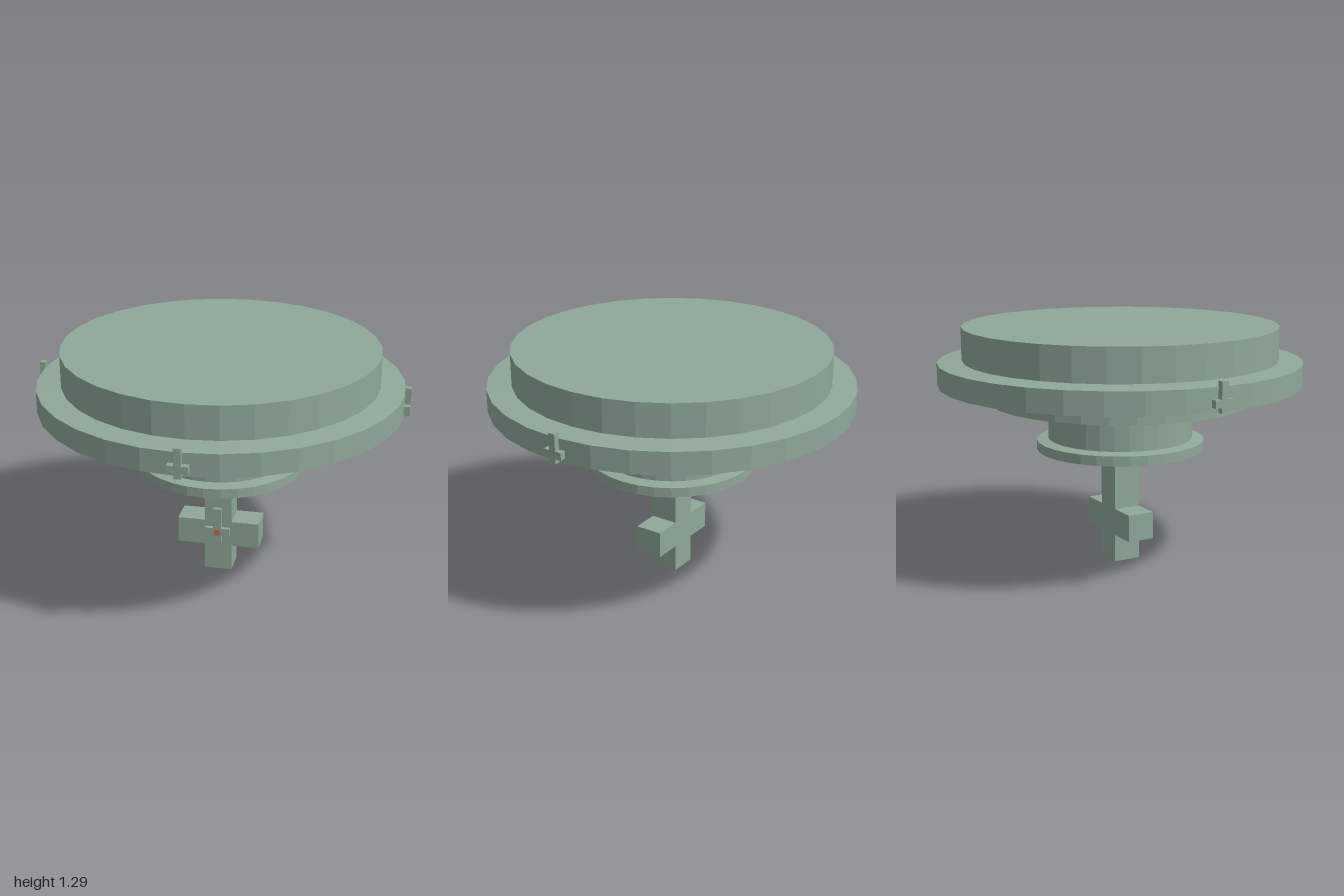
import * as THREE from 'three';

const CX = -0.003, CZ = -0.015, SIDES = 32;

export function createModel() {
  const group = new THREE.Group();
  const green = new THREE.MeshStandardMaterial({ color: 0x8fa899, flatShading: true });
  const red = new THREE.MeshStandardMaterial({ color: 0xc0705f, flatShading: true });

  function add(name, geometry, x, y, z, material = green, parent = group) {
    const mesh = new THREE.Mesh(geometry, material);
    mesh.name = name;
    mesh.position.set(x, y, z);
    parent.add(mesh);
    return mesh;
  }

  // Outline of a cross: upright from y0 to y1, arms from a0 to a1
  function crossGeometry(halfUpright, y0, y1, halfArm, a0, a1, depth) {
    const u = halfUpright, h = halfArm;
    const shape = new THREE.Shape([
      [-u, y0], [u, y0], [u, a0], [h, a0], [h, a1], [u, a1],
      [u, y1], [-u, y1], [-u, a1], [-h, a1], [-h, a0], [-u, a0],
    ].map(([x, y]) => new THREE.Vector2(x, y)));
    return new THREE.ExtrudeGeometry(shape, { depth, bevelEnabled: false });
  }

  // Each tier is a solid drum standing on a wider open ring with a slightly sloped top
  const tiers = [
    { name: 'upper', drum: 0.842, ring: 0.972, y0: 0.98, y1: 1.1, top: 1.287 },
    { name: 'middle', drum: 0.607, ring: 0.706, y0: 0.885, y1: 0.967, top: 1.112 },
    { name: 'lower', drum: 0.389, ring: 0.451, y0: 0.618, y1: 0.67, top: 0.977 },
  ];
  for (const t of tiers) {
    const inner = t.y1 + 0.01;
    const profile = [[t.drum, t.y0], [t.ring, t.y0], [t.ring, t.y1], [t.drum, inner], [t.drum, t.y0]]
      .map(([r, y]) => new THREE.Vector2(r, y));
    add(t.name + 'Ring', new THREE.LatheGeometry(profile, SIDES), CX, 0, CZ);
    add(t.name + 'Drum', new THREE.CylinderGeometry(t.drum, t.drum, t.top - inner, SIDES),
      CX, (t.top + inner) / 2, CZ);
  }

  // Cross-shaped handle, with a hollow square tip at the foot
  const half = 0.075, tip = 0.12;
  add('handle', crossGeometry(half, tip, 0.69, 0.226, 0.15, 0.296, half * 2), CX, 0, CZ - half);
  const square = (s) => [[-s, -s], [s, -s], [s, s], [-s, s]].map(([x, y]) => new THREE.Vector2(x, y));
  const tipShape = new THREE.Shape(square(half));
  tipShape.holes.push(new THREE.Path(square(0.056).reverse()));
  const tipGeometry = new THREE.ExtrudeGeometry(tipShape, { depth: tip, bevelEnabled: false });
  tipGeometry.rotateX(-Math.PI / 2);
  add('handleTip', tipGeometry, CX, 0, CZ);

  // Small ornament on the handle front with a red stud
  add('handleOrnament', crossGeometry(0.022, 0.167, 0.378, 0.068, 0.215, 0.26, 0.024), CX - 0.002, 0, 0.059);
  const stud = new THREE.CylinderGeometry(0.02, 0.02, 0.008, 12);
  stud.rotateX(Math.PI / 2);
  add('stud', stud, CX - 0.002, 0.237, 0.083, red);

  // Ornaments on the rim: left, front and right
  const ornament = crossGeometry(0.018, 0.977, 1.13, 0.052, 1.004, 1.043, 0.032);
  for (const [name, angle] of [['left', Math.PI / 2], ['front', 0], ['right', -Math.PI / 2]]) {
    const pivot = new THREE.Group();
    pivot.name = name + 'RimOrnament';
    pivot.position.set(CX, 0, CZ);
    pivot.rotation.y = angle;
    group.add(pivot);
    add('rimOrnament', ornament, 0, 0, 0.968, green, pivot);
  }

  return group;
}
